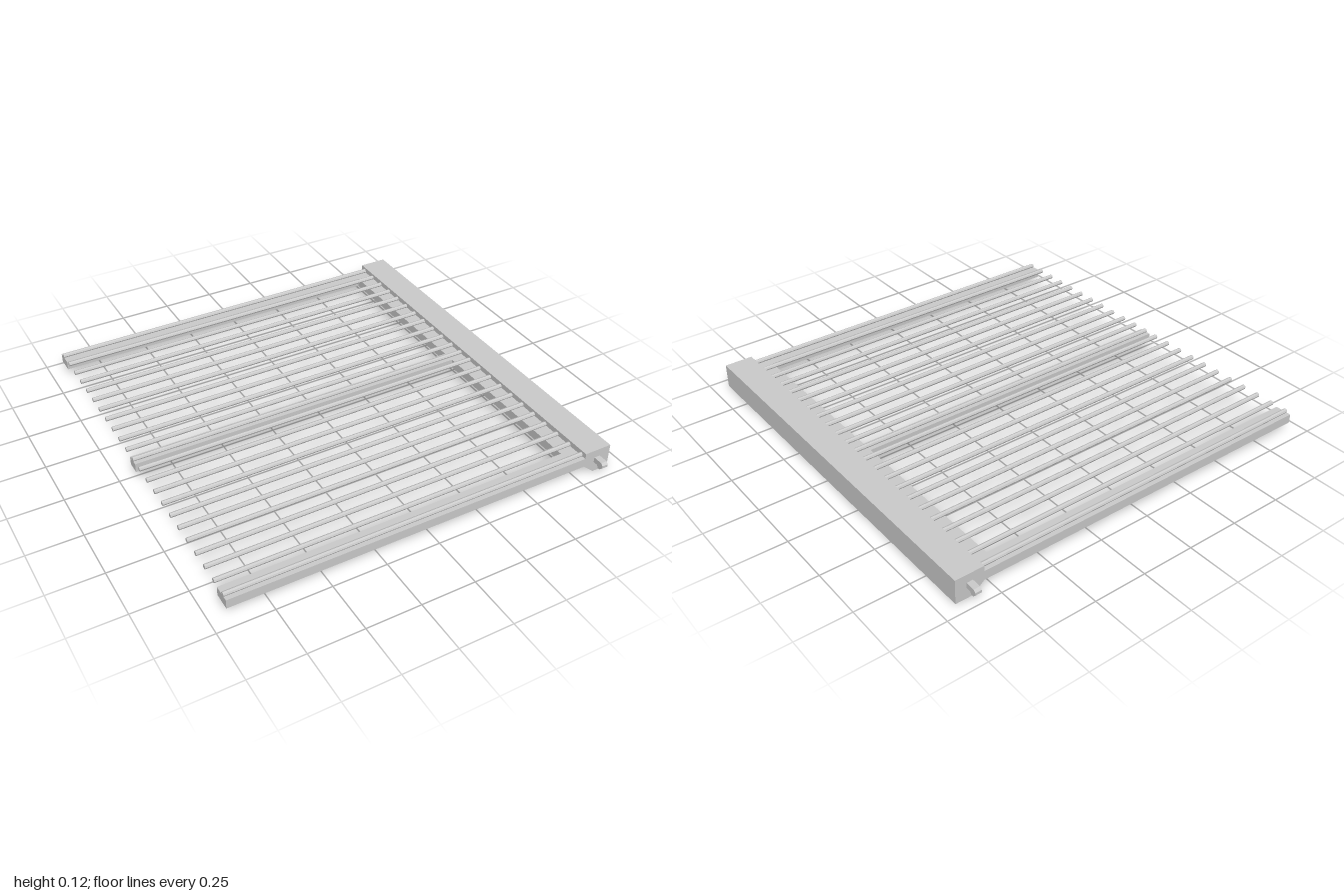
import * as THREE from 'three';

const material = new THREE.MeshStandardMaterial({ color: 0xcccccc, flatShading: true });

function add(group, name, geometry) {
  const mesh = new THREE.Mesh(geometry, material);
  mesh.name = name;
  group.add(mesh);
  return mesh;
}

// box given by its extents on each axis
function block(x0, x1, y0, y1, z0, z1) {
  return new THREE.BoxGeometry(x1 - x0, y1 - y0, z1 - z0)
    .translate((x0 + x1) / 2, (y0 + y1) / 2, (z0 + z1) / 2);
}

function extrude(points, depth) {
  const shape = new THREE.Shape(points.map(([x, y]) => new THREE.Vector2(x, y)));
  return new THREE.ExtrudeGeometry(shape, { depth, bevelEnabled: false });
}

export function createModel() {
  const group = new THREE.Group();
  const start = -0.93, headerX = 0.79, half = 0.945;
  const railBottom = 0.047, railTop = 0.09, rodRadius = 0.011;

  // header beam with a chamfered lower inner edge
  add(group, 'headerBeam', extrude(
    [[headerX, 0.047], [0.845, 0], [0.925, 0], [0.925, 0.116], [headerX, 0.116]], half * 2
  ).translate(0, 0, -half));

  // ledge joining the rails to the header
  add(group, 'ledge', block(0.72, headerX, railBottom, railTop, -0.865, 0.865));

  // supporting rails: two at the sides, one in the middle
  add(group, 'centreRail', block(start, headerX, railBottom, railTop, -0.03, 0.03));
  add(group, 'frontRail', block(start, headerX, railBottom, railTop, 0.865, half));
  add(group, 'backRail', block(start, headerX, railBottom, railTop, -half, -0.865));

  // parallel rods lying on the rails and ledge
  const offsets = [0];
  for (let i = 0; i < 10; i++) offsets.push(0.076 + i * 0.0841);
  offsets.push(0.915);
  const length = headerX + 0.01 - start;
  const rod = new THREE.CylinderGeometry(rodRadius, rodRadius, length, 8)
    .rotateY(Math.PI / 8).rotateZ(Math.PI / 2)
    .rotateX(Math.PI / 8).translate(start + length / 2, 0.096, 0);
  for (const z of offsets) {
    for (const side of z ? [-1, 1] : [1]) add(group, 'rod', rod).position.z = z * side;
  }

  // hooked pivot pins at both ends of the header
  const pin = [[0.935, 0.052], [0.968, 0.052], [0.974, 0.04], [0.987, 0.04],
    [1, 0.054], [1, 0.066], [0.99, 0.077], [0.935, 0.077]];
  add(group, 'frontPin', extrude(pin, 0.03).rotateY(-Math.PI / 2).translate(0.873, 0, 0));
  add(group, 'backPin', extrude(pin, 0.03).rotateY(Math.PI / 2).translate(0.843, 0, 0));

  return group;
}
